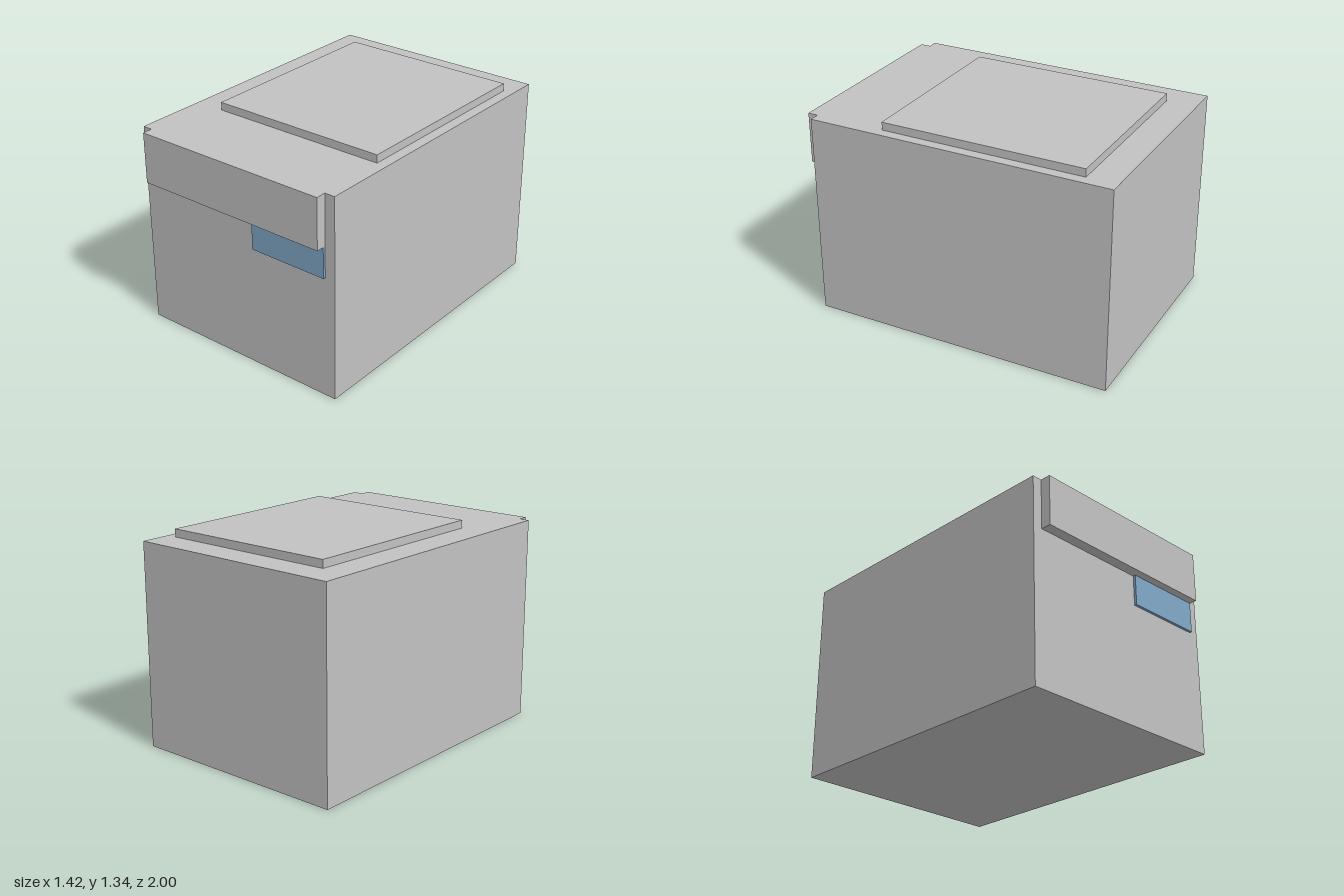
import * as THREE from 'three';

const casing = new THREE.MeshStandardMaterial({ color: 0xc2c2c2 });
casing.name = 'casing grey';
const display = new THREE.MeshStandardMaterial({ color: 0x80a8c8 });
display.name = 'display blue';

// Box given by its lower and upper bounds on each axis
function block(name, material, [x0, x1], [y0, y1], [z0, z1]) {
  const mesh = new THREE.Mesh(new THREE.BoxGeometry(x1 - x0, y1 - y0, z1 - z0), material);
  mesh.position.set((x0 + x1) / 2, (y0 + y1) / 2, (z0 + z1) / 2);
  mesh.name = name;
  return mesh;
}

export function createModel() {
  const model = new THREE.Group();
  model.name = 'cabinet';
  model.add(
    // Main cabinet
    block('body', casing, [-0.708, 0.708], [0, 1.29], [-1, 0.935]),
    // Raised band across the upper front
    block('frontFascia', casing, [-0.645, 0.642], [0.97, 1.29], [0.935, 1]),
    // Raised plate on top
    block('topPlate', casing, [-0.517, 0.642], [1.29, 1.34], [-0.808, 0.483]),
    // Small panel under the fascia
    block('displayPanel', display, [0.128, 0.642], [0.775, 0.97], [0.935, 0.951]),
  );
  return model;
}
